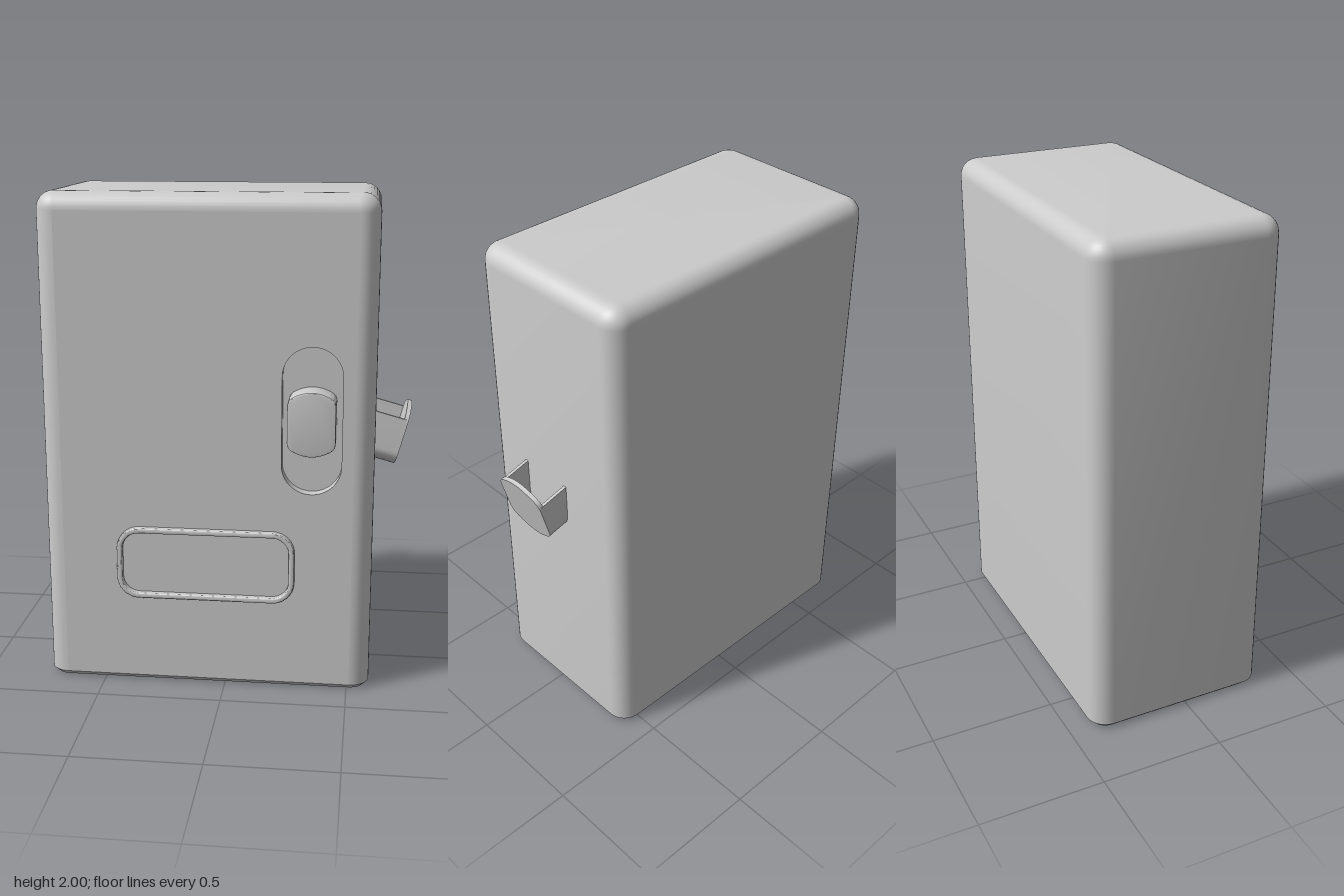
import * as THREE from 'three';
import { toCreasedNormals } from 'three/addons/utils/BufferGeometryUtils.js';

const grey = new THREE.MeshStandardMaterial({ color: 0xcccccc });
const X0 = -0.74, X1 = 0.59, Z0 = -0.41, Z1 = 0.345, H = 2;
const CORNER = 0.08, TOP_R = 0.07, CHAMFER = 0.02, STEPS = 8;

function mesh(name, geometry) {
  const m = new THREE.Mesh(toCreasedNormals(geometry, 0.5), grey);
  m.name = name;
  return m;
}

function roundedRect(path, cx, cy, w, h, r) {
  const x = w / 2 - r, y = h / 2 - r;
  path.absarc(cx + x, cy + y, r, 0, Math.PI / 2);
  path.absarc(cx - x, cy + y, r, Math.PI / 2, Math.PI);
  path.absarc(cx - x, cy - y, r, Math.PI, Math.PI * 1.5);
  path.absarc(cx + x, cy - y, r, Math.PI * 1.5, Math.PI * 2);
  path.closePath();
  return path;
}

// Straight sides, softly arched top and bottom (w, h are half sizes)
function barrel(w, h, s, r) {
  const p = new THREE.Shape();
  p.moveTo(w, s + r - h);
  p.lineTo(w, h - s - r);
  p.quadraticCurveTo(w, h - s, w - r, h - 0.6 * s);
  p.quadraticCurveTo(0, h + 0.6 * s, r - w, h - 0.6 * s);
  p.quadraticCurveTo(-w, h - s, -w, h - s - r);
  p.lineTo(-w, s + r - h);
  p.quadraticCurveTo(-w, s - h, r - w, 0.6 * s - h);
  p.quadraticCurveTo(0, -h - 0.6 * s, w - r, 0.6 * s - h);
  p.quadraticCurveTo(w, s - h, w, s + r - h);
  return p;
}

function extrude(shape, depth, bevel = 0) {
  return new THREE.ExtrudeGeometry(shape, {
    depth: depth - bevel, curveSegments: 12, bevelEnabled: bevel > 0,
    bevelThickness: bevel, bevelSize: bevel, bevelOffset: -bevel, bevelSegments: 3,
  });
}

// Casing skin: stacked rounded rectangles, left open where the front panel sits
function casingGeometry() {
  const profile = [[CHAMFER, 0], [0, CHAMFER]];
  for (let i = 0; i <= STEPS; i++) {
    const a = (i / STEPS) * Math.PI / 2;
    profile.push([TOP_R * (1 - Math.cos(a)), H - TOP_R + TOP_R * Math.sin(a)]);
  }
  const corners = [
    [X1 - CORNER, Z1 - CORNER], [X1 - CORNER, Z0 + CORNER],
    [X0 + CORNER, Z0 + CORNER], [X0 + CORNER, Z1 - CORNER],
  ];
  const n = 4 * (STEPS + 1), pos = [], index = [];
  for (const [inset, y] of profile) {
    corners.forEach(([cx, cz], k) => {
      for (let i = 0; i <= STEPS; i++) {
        const a = Math.PI / 2 * (1 - k - i / STEPS), r = CORNER - inset;
        pos.push(cx + r * Math.cos(a), y, cz + r * Math.sin(a));
      }
    });
  }
  for (let j = 0; j < profile.length - 1; j++) {
    for (let i = 0; i < n; i++) {
      if (j === 1 && i === n - 1) continue;
      const a = j * n + i, b = j * n + (i + 1) % n;
      index.push(a, b, b + n, a, b + n, a + n);
    }
  }
  const top = (profile.length - 1) * n;
  for (let i = 1; i < n - 1; i++) {
    index.push(0, i + 1, i, top, top + i, top + i + 1);
  }
  const g = new THREE.BufferGeometry();
  g.setAttribute('position', new THREE.Float32BufferAttribute(pos, 3));
  g.setIndex(index);
  return g;
}

export function createModel() {
  const model = new THREE.Group();
  model.name = 'dispenserBox';
  model.add(mesh('casing', casingGeometry()));

  // Front panel with a cut-out for the slider
  const SX = 0.344, SY = 1.125, SW = 0.236, SH = 0.59, DEPTH = 0.05;
  const slot = (path, grow = 0) =>
    roundedRect(path, SX, SY, SW + grow, SH + grow, (SW + grow) / 2 - 0.0005);
  const panel = new THREE.Shape();
  panel.moveTo(X0 + CORNER, CHAMFER);
  panel.lineTo(X1 - CORNER, CHAMFER);
  panel.lineTo(X1 - CORNER, H - TOP_R);
  panel.lineTo(X0 + CORNER, H - TOP_R);
  panel.closePath();
  panel.holes.push(slot(new THREE.Path()));
  const front = mesh('frontPanel', new THREE.ShapeGeometry(panel, 16));
  front.position.z = Z1;
  model.add(front);

  // Recessed slider track
  const wall = slot(new THREE.Shape(), 0.02);
  wall.holes.push(slot(new THREE.Path()));
  const trackWall = mesh('sliderTrackWall', extrude(wall, DEPTH - 0.001));
  const trackFloor = mesh('sliderTrackFloor', new THREE.ShapeGeometry(slot(new THREE.Shape(), 0.01), 16));
  trackWall.position.z = trackFloor.position.z = Z1 - DEPTH;
  model.add(trackWall, trackFloor);

  // Slider knob
  const knob = mesh('sliderKnob', extrude(barrel(0.094, 0.128, 0.03, 0.025), 0.11, 0.006));
  knob.position.set(SX, SY + 0.002, Z1 - DEPTH);
  model.add(knob);

  // Raised rim of the window
  const rim = roundedRect(new THREE.Shape(), -0.077, 0.521, 0.72, 0.3, 0.09);
  rim.holes.push(roundedRect(new THREE.Path(), -0.077, 0.521, 0.675, 0.255, 0.068));
  const frame = mesh('windowRim', extrude(rim, 0.035, 0.008));
  frame.position.z = Z1 - 0.01;
  model.add(frame);

  // Tilted side scoop, open at the top: U-shaped trough and outer plate
  const scoop = new THREE.Group();
  scoop.name = 'sideScoop';
  const W = 0.122, HH = 0.134, RIM = 0.08, T = 0.013;
  const plateShape = barrel(W, HH, 0.035, 0.04);
  const lower = plateShape.getPoints(12).filter((p, i, all) => p.y < 0 && i > all.length / 4);
  const outer = [new THREE.Vector2(-W, RIM), ...lower, new THREE.Vector2(W, RIM)];
  const inner = outer.map((p) => new THREE.Vector2(
    p.x * (W - T) / W, p.y === RIM ? RIM : p.y * (HH - T) / HH)).reverse();
  const trough = mesh('scoopTrough',
    extrude(new THREE.Shape([...outer, ...inner]), 0.2).rotateY(Math.PI / 2));
  trough.position.x = -0.21;
  const plate = mesh('scoopPlate', extrude(plateShape, 0.018).rotateY(Math.PI / 2));
  plate.position.x = -0.018;
  scoop.add(trough, plate);
  scoop.position.set(0.701, 1.012, 0.012);
  scoop.rotation.z = -0.265;
  model.add(scoop);

  return model;
}
